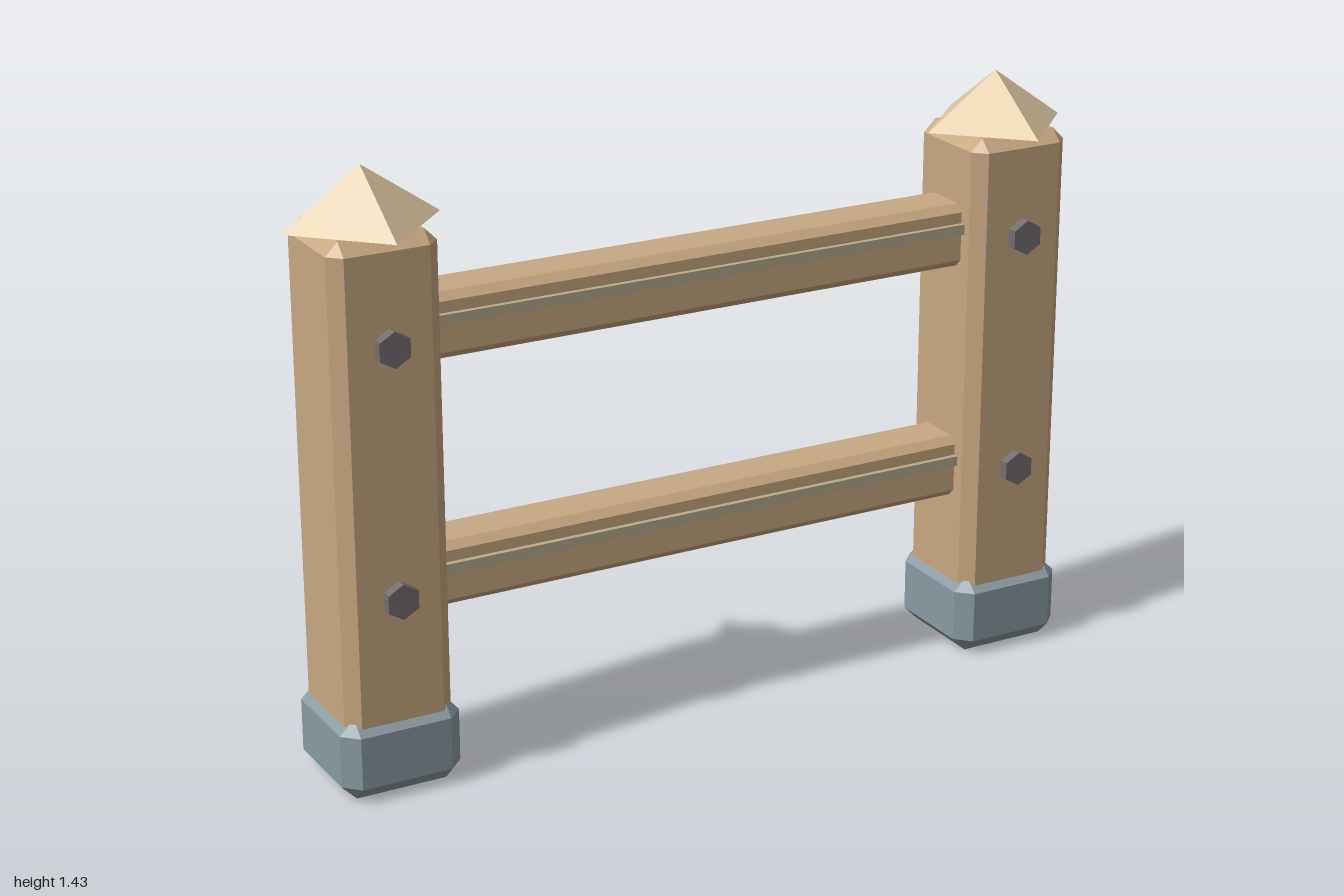
import * as THREE from 'three';
import { ConvexGeometry } from 'three/addons/geometries/ConvexGeometry.js';

const material = (color) => new THREE.MeshStandardMaterial({ color, flatShading: true });

// Box with every edge and corner chamfered by b
function chamferBox(w, h, d, b) {
  const half = [w / 2, h / 2, d / 2];
  const points = [];
  for (const sx of [-1, 1]) for (const sy of [-1, 1]) for (const sz of [-1, 1]) {
    for (let axis = 0; axis < 3; axis++) {
      const s = [sx, sy, sz];
      points.push(new THREE.Vector3(...half.map((v, i) => s[i] * (i === axis ? v : v - b))));
    }
  }
  return new ConvexGeometry(points);
}

export function createModel() {
  const model = new THREE.Group();
  model.name = 'fence';

  const wood = material(0xc8a882);
  const paleWood = material(0xdcc6a0);
  const stripWood = material(0xb8ab8c);
  const stone = material(0x8a9aa2);
  const metal = material(0x746c70);

  const add = (parent, name, geometry, mat, x, y, z) => {
    const mesh = new THREE.Mesh(geometry, mat);
    mesh.name = name;
    mesh.position.set(x, y, z);
    parent.add(mesh);
    return mesh;
  };

  const railHeights = [0.476, 1.062];
  const postGeometry = chamferBox(0.26, 1.305, 0.262, 0.03);
  const footGeometry = chamferBox(0.292, 0.198, 0.292, 0.036);
  const capGeometry = new THREE.ConeGeometry(0.185, 0.13, 4);
  const boltGeometry = new THREE.CylinderGeometry(0.042, 0.042, 0.055, 6).rotateX(Math.PI / 2);

  // Posts with stone foot, pyramid cap and hexagonal bolts
  for (const side of [-1, 1]) {
    const post = new THREE.Group();
    post.name = side > 0 ? 'leftPost' : 'rightPost';
    post.position.x = side * 0.815;
    add(post, 'postBeam', postGeometry, wood, 0, 0.6525, 0);
    add(post, 'postFoot', footGeometry, stone, 0, 0.101, 0);
    add(post, 'postCap', capGeometry, paleWood, 0, 1.37, 0);
    for (const y of railHeights) add(post, 'bolt', boltGeometry, metal, 0, y, 0.1285);
    model.add(post);
  }

  // Rails with a thin raised strip along the front
  const railGeometry = chamferBox(1.52, 0.154, 0.138, 0.018);
  const stripGeometry = new THREE.BoxGeometry(1.48, 0.025, 0.03);
  for (const y of railHeights) {
    add(model, 'rail', railGeometry, wood, 0, y, 0);
    add(model, 'railStrip', stripGeometry, stripWood, 0, y + 0.02, 0.067);
  }

  return model;
}
